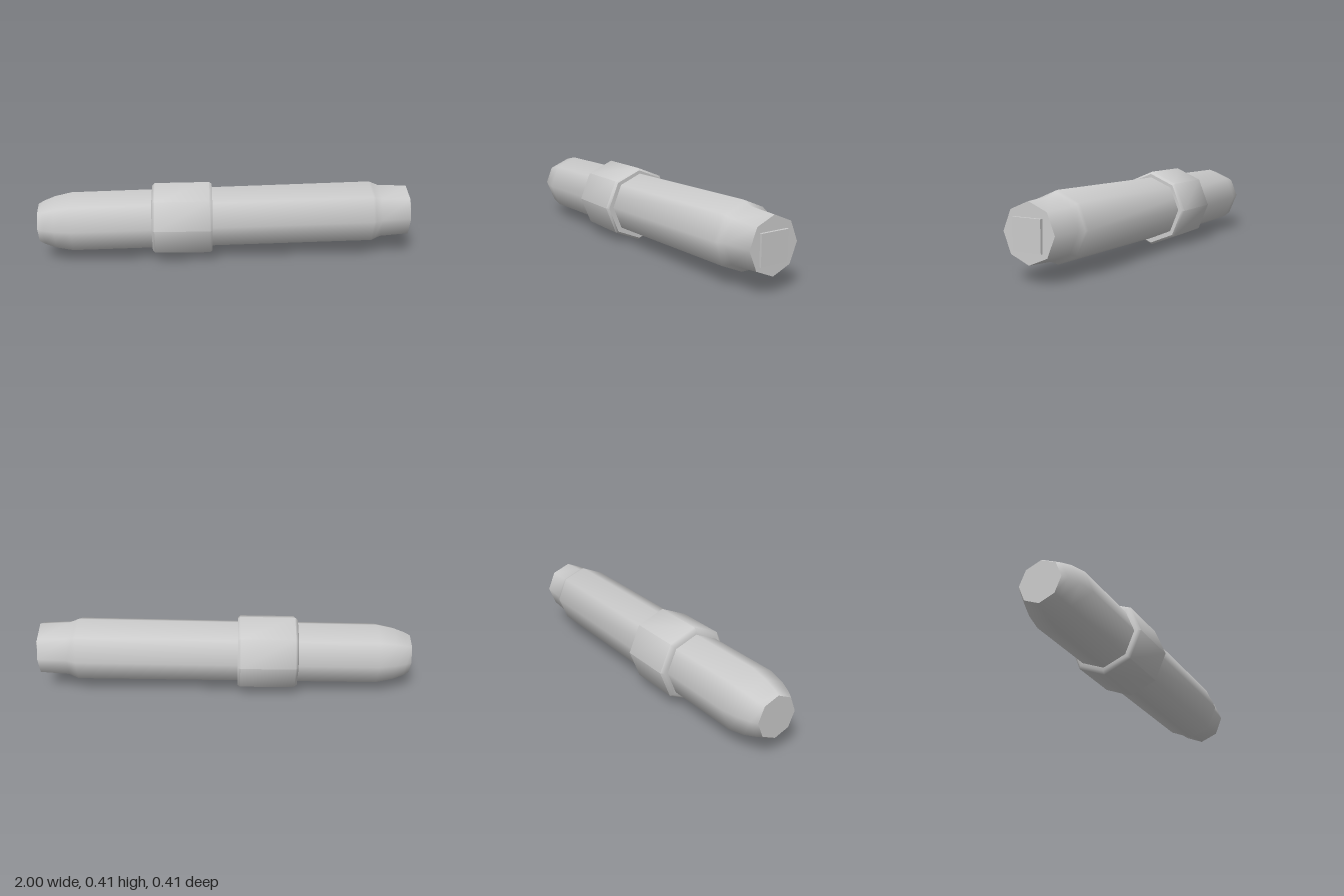
import * as THREE from 'three';
import { toCreasedNormals } from 'three/addons/utils/BufferGeometryUtils.js';

const material = new THREE.MeshStandardMaterial({ color: 0xcccccc });

// Eight-sided turned solid along x, from [x, radius] pairs
function turned(name, profile) {
  const points = profile.map(([x, r]) => new THREE.Vector2(r, x));
  const lathe = new THREE.LatheGeometry(points, 8).rotateZ(-Math.PI / 2);
  const mesh = new THREE.Mesh(toCreasedNormals(lathe, 0.9), material);
  mesh.name = name;
  return mesh;
}

export function createModel() {
  const model = new THREE.Group();
  model.name = 'handle';

  // Long barrel with a rounded end and a narrower stepped tip, slightly tilted
  const barrel = turned('barrel', [
    [-1, 0], [-1, 0.108], [-0.97, 0.125], [-0.91, 0.148], [-0.82, 0.167],
    [0.78, 0.172], [0.795, 0.165], [0.83, 0.15], [0.985, 0.141], [0.985, 0],
  ]);
  barrel.rotation.set(0, 0.0155, 0.0165);
  barrel.position.set(0, 0.2085, -0.0045);
  model.add(barrel);

  // Collar with bevelled rims
  const collar = turned('collar', [
    [-0.395, 0.15], [-0.395, 0.187], [-0.38, 0.201],
    [-0.09, 0.2035], [-0.076, 0.192], [-0.076, 0.15],
  ]);
  collar.position.y = 0.2035;
  model.add(collar);

  // Square plate on the end of the tip
  const plate = new THREE.Mesh(new THREE.BoxGeometry(0.06, 0.153, 0.157), material);
  plate.name = 'endPlate';
  plate.position.set(0.967, 0.218, -0.016);
  model.add(plate);

  return model;
}
